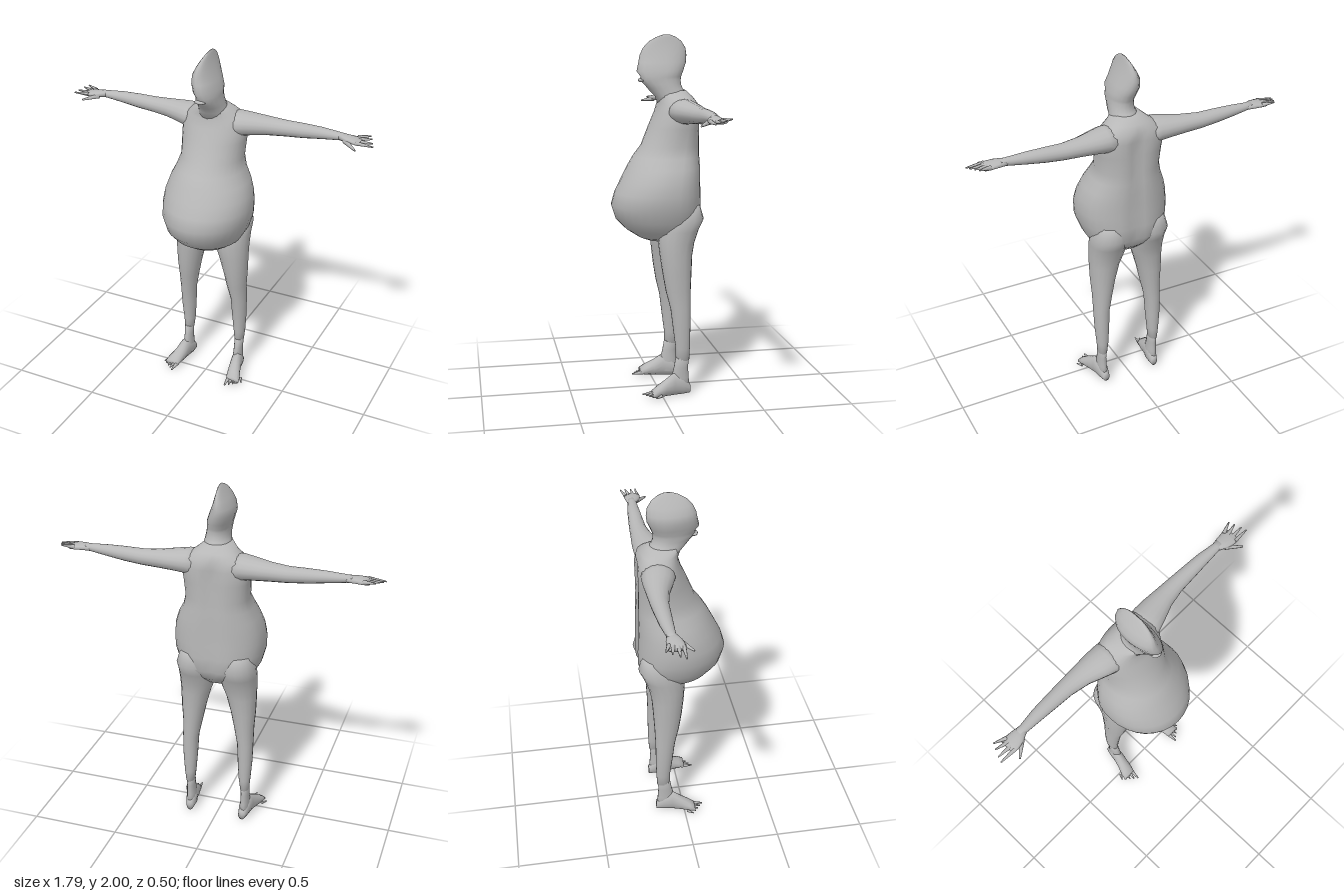
import * as THREE from 'three';

// Closed loft along y. Section: [y, centreX, halfWidth, zFront, zBack, zWidest]
function loft(sections, sides = 24, backPower = 1) {
  const pos = [], idx = [];
  for (const [y, c, w, front, back, mid = (front + back) / 2] of sections) {
    for (let i = 0; i < sides; i++) {
      const a = (i / sides) * Math.PI * 2, s = Math.sin(a);
      const z = s >= 0 ? mid + (front - mid) * s : mid + (back - mid) * Math.pow(-s, backPower);
      pos.push(c + w * Math.cos(a), y, z);
    }
  }
  const n = sections.length;
  for (let k = 0; k < n - 1; k++) {
    for (let i = 0; i < sides; i++) {
      const a = k * sides + i, b = k * sides + ((i + 1) % sides);
      idx.push(a, a + sides, b, b, a + sides, b + sides);
    }
  }
  // end caps
  for (const k of [0, n - 1]) {
    const [y, c, , f, b] = sections[k], centre = pos.length / 3;
    pos.push(c, y, (f + b) / 2);
    for (let i = 0; i < sides; i++) {
      const p = k * sides + i, q = k * sides + ((i + 1) % sides);
      if (k === 0) idx.push(centre, p, q);
      else idx.push(centre, q, p);
    }
  }
  const g = new THREE.BufferGeometry();
  g.setAttribute('position', new THREE.Float32BufferAttribute(pos, 3));
  g.setIndex(idx);
  g.computeVertexNormals();
  return g;
}

// Tapered digit between two points
function digit(from, to, r) {
  const a = new THREE.Vector3(...from), b = new THREE.Vector3(...to);
  const dir = b.clone().sub(a), len = dir.length();
  const g = new THREE.CylinderGeometry(r * 0.3, r, len, 7, 2);
  g.applyQuaternion(new THREE.Quaternion().setFromUnitVectors(new THREE.Vector3(0, 1, 0), dir.normalize()));
  const m = a.add(b).multiplyScalar(0.5);
  return g.translate(m.x, m.y, m.z);
}

// Copy to the other side of x = 0, keeping faces outward
function mirrored(geometry) {
  const g = geometry.clone(), p = g.attributes.position, ix = g.index;
  for (let i = 0; i < p.count; i++) p.setX(i, -p.getX(i));
  for (let i = 0; i < ix.count; i += 3) {
    const t = ix.getX(i + 1);
    ix.setX(i + 1, ix.getX(i + 2));
    ix.setX(i + 2, t);
  }
  g.computeVertexNormals();
  return g;
}

export function createModel() {
  const model = new THREE.Group();
  model.name = 'figure';
  const skin = new THREE.MeshStandardMaterial({ color: 0xb8b8b8 });
  skin.name = 'grey skin';

  const add = (name, g) => {
    const m = new THREE.Mesh(g, skin);
    m.name = name;
    model.add(m);
  };
  const addPair = (name, g) => {
    add('left ' + name, g);
    add('right ' + name, mirrored(g));
  };

  // Trunk with the hanging belly
  const trunk = loft([
    [0.865, 0, 0.07, 0.05, -0.11, -0.03],
    [0.885, 0, 0.13, 0.10, -0.15, -0.03],
    [0.93, 0, 0.19, 0.17, -0.20, -0.03],
    [0.99, 0, 0.225, 0.23, -0.245, -0.03],
    [1.07, 0.004, 0.25, 0.255, -0.245, -0.02],
    [1.14, 0.006, 0.253, 0.235, -0.242, -0.02],
    [1.21, 0.006, 0.245, 0.20, -0.24, -0.03],
    [1.28, 0.004, 0.222, 0.165, -0.24, -0.05],
    [1.34, 0, 0.192, 0.13, -0.238, -0.07],
    [1.40, 0, 0.175, 0.085, -0.236, -0.09],
    [1.50, 0, 0.182, 0.045, -0.235, -0.11],
    [1.58, 0, 0.19, 0.01, -0.235, -0.13],
    [1.63, 0, 0.17, -0.005, -0.225, -0.13],
    [1.665, 0, 0.115, -0.005, -0.20, -0.12],
    [1.70, 0, 0.07, 0.01, -0.165, -0.08],
  ], 32, 0.75);
  // shallow groove down the spine
  const tp = trunk.attributes.position;
  for (let i = 0; i < tp.count; i++) {
    const z = tp.getZ(i), y = tp.getY(i);
    if (z < -0.18 && y > 0.95 && y < 1.62) tp.setZ(i, z + 0.02 * Math.exp(-Math.pow(tp.getX(i) / 0.04, 2)));
  }
  trunk.computeVertexNormals();
  add('trunk', trunk);

  // Narrow crested head, leaning a little to its right
  add('head', loft([
    [1.62, 0, 0.10, -0.01, -0.2],
    [1.67, 0.006, 0.08, 0.01, -0.175],
    [1.71, 0.012, 0.068, 0.05, -0.145, -0.06],
    [1.735, 0.012, 0.064, 0.07, -0.135, -0.05],
    [1.76, 0.01, 0.063, 0.095, -0.135, -0.04],
    [1.775, 0.008, 0.064, 0.088, -0.138, -0.04],
    [1.805, 0.003, 0.067, 0.11, -0.15, -0.05],
    [1.85, -0.012, 0.066, 0.098, -0.168, -0.05],
    [1.89, -0.017, 0.055, 0.09, -0.172, -0.05],
    [1.93, -0.013, 0.037, 0.072, -0.165, -0.05],
    [1.965, -0.007, 0.02, 0.04, -0.142, -0.05],
    [1.988, -0.002, 0.01, 0, -0.11, -0.055],
    [2.0, 0, 0.003, -0.035, -0.08],
  ], 20));
  const lips = new THREE.SphereGeometry(1, 12, 8);
  lips.scale(0.032, 0.012, 0.025);
  add('lips', lips.translate(0.005, 1.757, 0.078));

  // Legs
  addPair('leg', loft([
    [0.20, 0.166, 0.025, -0.08, -0.157],
    [0.27, 0.165, 0.033, -0.08, -0.16],
    [0.38, 0.165, 0.041, -0.065, -0.162],
    [0.50, 0.163, 0.045, -0.05, -0.162],
    [0.60, 0.153, 0.055, -0.025, -0.165],
    [0.70, 0.146, 0.069, -0.008, -0.17],
    [0.80, 0.134, 0.084, 0.005, -0.176],
    [0.87, 0.122, 0.098, 0.012, -0.19],
    [0.94, 0.118, 0.104, 0.01, -0.215],
    [1.00, 0.12, 0.104, -0.01, -0.243],
    [1.08, 0.12, 0.08, -0.06, -0.22],
  ], 18, 0.85));

  // Ankles and feet, turned outward
  addPair('ankle', loft([
    [0.03, 0.162, 0.028, -0.06, -0.16],
    [0.10, 0.165, 0.026, -0.055, -0.155],
    [0.16, 0.166, 0.024, -0.07, -0.15],
    [0.22, 0.166, 0.026, -0.08, -0.157],
  ], 14));
  const foot = loft([ // runs along z; last pair is -bottom, -top
    [-0.163, 0.16, 0.02, -0.004, -0.06],
    [-0.12, 0.164, 0.032, 0, -0.11],
    [-0.07, 0.172, 0.033, 0, -0.13],
    [-0.02, 0.182, 0.037, 0, -0.095],
    [0.03, 0.196, 0.042, 0, -0.065],
    [0.06, 0.204, 0.04, -0.004, -0.042],
  ], 14);
  addPair('foot', foot.rotateX(Math.PI / 2));
  for (let i = 0; i < 5; i++) {
    const x = 0.172 + i * 0.016;
    addPair('toe ' + (i + 1), digit([x, 0.02, 0.045 - i * 0.008], [x + 0.004 + i * 0.004, 0.014, 0.112 - i * 0.016], 0.013 - i * 0.001));
  }

  // Arms: sections run along x, centre measured downward from y = 1.6
  const alongX = (s, sides) => loft(s, sides).rotateZ(-Math.PI / 2).translate(0, 1.6, 0);
  addPair('arm', alongX([
    [0.08, 0.015, 0.075, -0.05, -0.215],
    [0.15, 0.01, 0.068, -0.04, -0.22],
    [0.21, 0.008, 0.060, -0.06, -0.22],
    [0.30, 0.008, 0.050, -0.095, -0.215],
    [0.40, 0.008, 0.043, -0.115, -0.21],
    [0.50, 0.003, 0.039, -0.12, -0.203],
    [0.60, -0.003, 0.031, -0.125, -0.195],
    [0.70, -0.006, 0.021, -0.13, -0.18],
    [0.73, -0.006, 0.019, -0.128, -0.18],
  ], 16));
  addPair('hand', alongX([
    [0.70, -0.006, 0.019, -0.13, -0.18],
    [0.75, -0.004, 0.018, -0.105, -0.188],
    [0.79, -0.002, 0.015, -0.098, -0.192],
    [0.82, 0, 0.011, -0.105, -0.19],
  ], 12));
  const fingers = [
    [[0.80, 1.602, -0.11], [0.895, 1.597, -0.112]],
    [[0.80, 1.603, -0.135], [0.885, 1.603, -0.14]],
    [[0.80, 1.605, -0.16], [0.87, 1.612, -0.175]],
    [[0.79, 1.607, -0.18], [0.855, 1.617, -0.203]],
    [[0.74, 1.598, -0.125], [0.815, 1.582, -0.062]],
  ];
  fingers.forEach(([a, b], i) => addPair(i < 4 ? 'finger ' + (i + 1) : 'thumb', digit(a, b, i < 4 ? 0.012 : 0.016)));

  return model;
}
